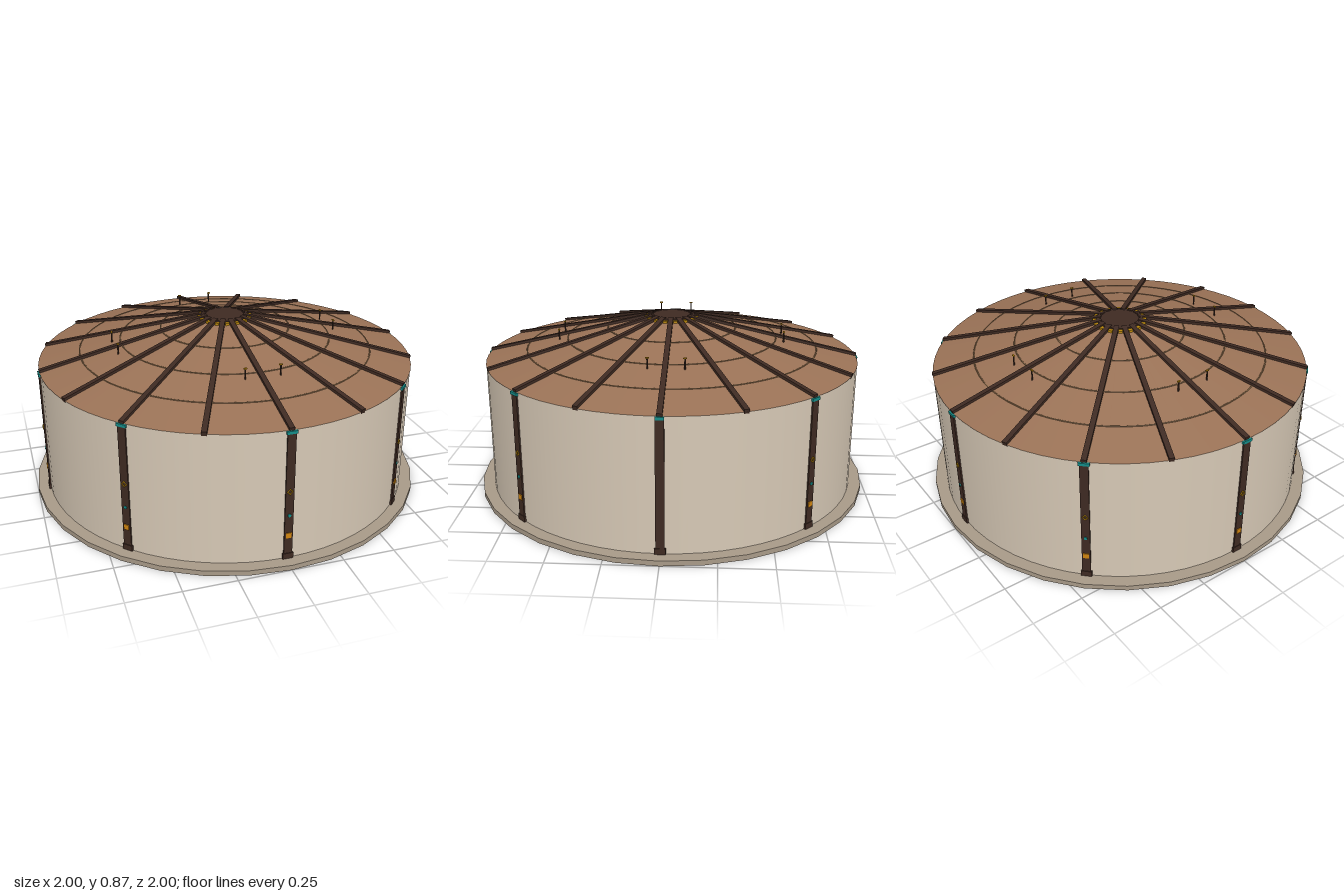
import * as THREE from 'three';

const mat = (name, color, extra = {}) => {
  const m = new THREE.MeshStandardMaterial({ color, ...extra });
  m.name = name;
  return m;
};

export function createModel() {
  const root = new THREE.Group();
  root.name = 'roundHall';

  const stone = mat('stone', 0xa89a88);
  const plaster = mat('plaster', 0xd6c8b5);
  const clay = mat('roofClay', 0x9a7256);
  const wood = mat('darkWood', 0x3e2a22);
  const tan = mat('ringTan', 0x8a6a48);
  const teal = mat('teal', 0x148c88);
  const gold = mat('gold', 0xb8860b);
  const orange = mat('orange', 0xd08410);

  const add = (parent, name, geo, material, x = 0, y = 0, z = 0) => {
    const mesh = new THREE.Mesh(geo, material);
    mesh.name = name;
    mesh.position.set(x, y, z);
    parent.add(mesh);
    return mesh;
  };
  const box = (w, h, d) => new THREE.BoxGeometry(w, h, d);
  // group turned about y so that its local +z points outwards
  const spoke = (name, angle) => {
    const g = new THREE.Group();
    g.name = name;
    g.rotation.y = angle;
    root.add(g);
    return g;
  };

  // main dimensions
  const wallR = 0.938, wallTop = 0.663, hubR = 0.11, roofTop = 0.855;
  const slope = (roofTop - wallTop) / (wallR - hubR);
  const roofY = r => wallTop + (wallR - r) * slope;

  // plinth, wall and roof
  add(root, 'plinth', new THREE.CylinderGeometry(1, 1, 0.025, 32), stone, 0, 0.0125, 0);
  add(root, 'wall', new THREE.CylinderGeometry(wallR, wallR, wallTop - 0.02, 64), plaster,
    0, (wallTop + 0.02) / 2, 0);
  add(root, 'roof', new THREE.CylinderGeometry(hubR, wallR + 0.002, roofTop - wallTop, 64), clay,
    0, (roofTop + wallTop) / 2, 0);

  // thin rings lying on the roof
  for (const r of [0.325, 0.53, 0.735]) {
    const ring = add(root, 'roofRing', new THREE.TorusGeometry(r, 0.0035, 6, 64), tan, 0, roofY(r), 0);
    ring.rotation.x = Math.PI / 2;
  }

  // roof ribs and gold blocks around the hub
  const ribLength = Math.hypot(wallR - 0.09, (wallR - 0.09) * slope);
  for (let i = 0; i < 16; i++) {
    const g = spoke('roofRibSpoke', i * Math.PI / 8);
    const mid = (wallR + 0.004 + 0.09) / 2;
    const rib = add(g, 'roofRib', box(0.025, 0.022, ribLength), wood, 0, roofY(mid) + 0.002, mid);
    rib.rotation.x = Math.atan(slope);
    const b = spoke('hubBlockSpoke', (i + 0.5) * Math.PI / 8);
    add(b, 'hubBlock', box(0.02, 0.014, 0.02), gold, 0, roofY(0.125) + 0.002, 0.125);
  }

  // hub cap with gold collar
  add(root, 'hubCollar', new THREE.CylinderGeometry(0.12, 0.12, 0.008, 24), gold, 0, 0.856, 0);
  add(root, 'hubCap', new THREE.CylinderGeometry(0.115, 0.115, 0.008, 24), wood, 0, 0.863, 0);

  // wall posts with ornaments; the post on the left side (+x) stays plain
  for (let i = 0; i < 8; i++) {
    const g = spoke('postGroup', i * Math.PI / 4);
    const plain = i === 2;
    add(g, 'post', box(0.04, 0.635, 0.02), wood, 0, 0.343, 0.934);
    add(g, 'postFoot', box(0.05, 0.028, 0.024), wood, 0, 0.039, 0.935);
    add(g, 'postCap', box(plain ? 0.038 : 0.05, 0.014, 0.014), teal, 0, 0.654, plain ? 0.938 : 0.94);
    if (plain) continue;
    add(g, 'goldDiamond', new THREE.TorusGeometry(0.012, 0.004, 4, 4), gold, 0, 0.368, 0.945);
    const stud = add(g, 'tealStud', new THREE.CylinderGeometry(0.008, 0.008, 0.006, 8), teal, 0, 0.25, 0.945);
    stud.rotation.x = Math.PI / 2;
    add(g, 'orangePlate', box(0.026, 0.026, 0.006), orange, 0, 0.147, 0.945);
  }

  // pairs of small roof pegs on either side of the four main ribs
  for (let i = 0; i < 4; i++) {
    const g = spoke('pegPair', i * Math.PI / 2);
    for (const x of [-0.08, 0.09]) {
      const r = Math.hypot(x, 0.565);
      add(g, 'roofPeg', new THREE.CylinderGeometry(0.004, 0.004, 0.055, 6), wood, x, roofY(r) + 0.025, 0.565);
      add(g, 'pegTip', box(0.016, 0.005, 0.008), gold, x, roofY(r) + 0.052, 0.565);
    }
  }
  return root;
}
